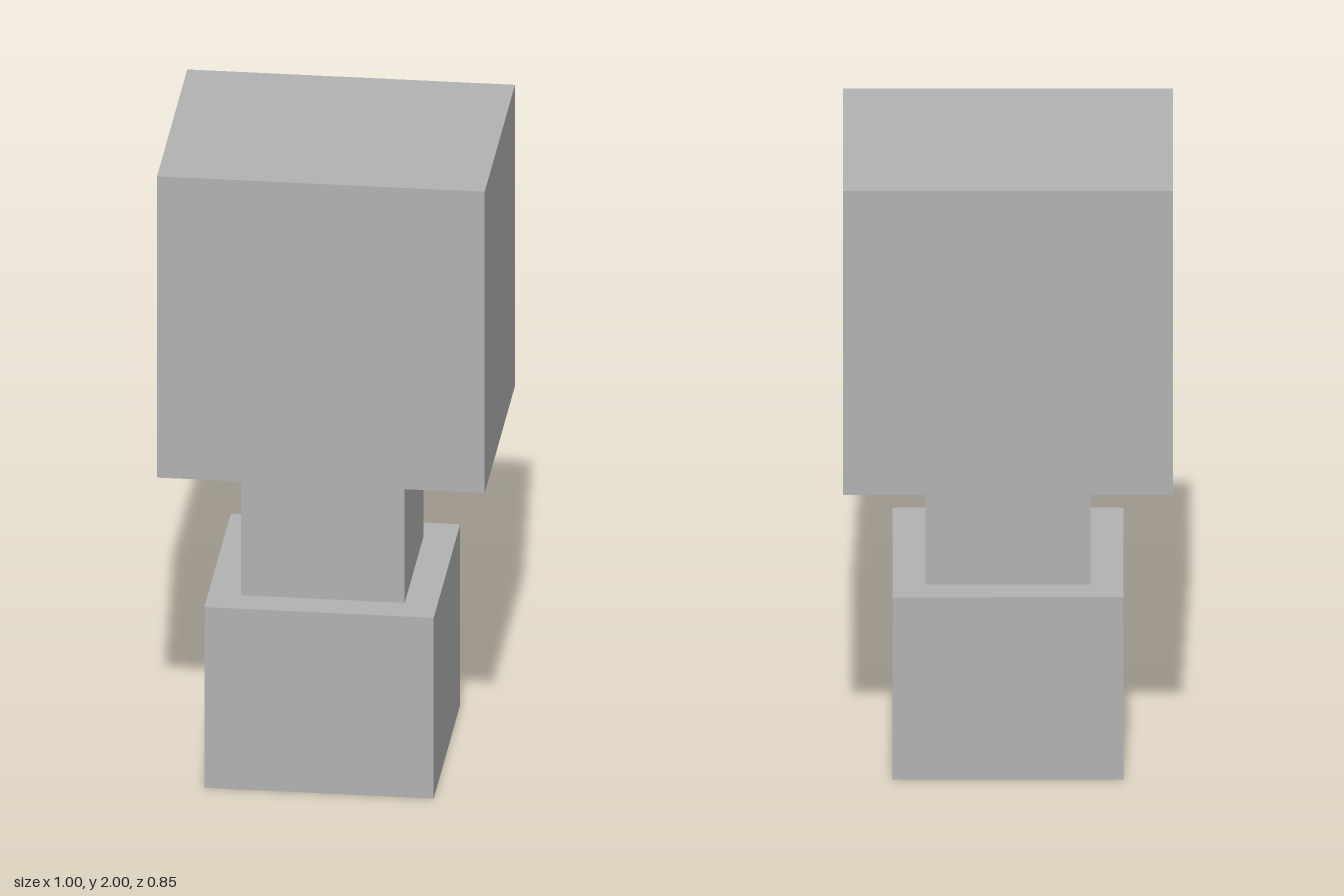
import * as THREE from 'three';

export function createModel() {
  const model = new THREE.Group();
  model.name = 'stackedBlocks';
  const grey = new THREE.MeshStandardMaterial({ color: 0xb2b2b2 });
  grey.name = 'grey';

  // A block standing on height y, centred on x = 0
  function addBlock(name, width, height, depth, y, z) {
    const mesh = new THREE.Mesh(new THREE.BoxGeometry(width, height, depth), grey);
    mesh.name = name;
    mesh.position.set(0, y + height / 2, z);
    model.add(mesh);
  }

  addBlock('base', 0.7, 0.6, 0.7, 0, 0.075);
  addBlock('neck', 0.5, 0.4, 0.5, 0.6, 0.075);
  addBlock('head', 1, 1, 0.8, 1, -0.025);

  return model;
}
